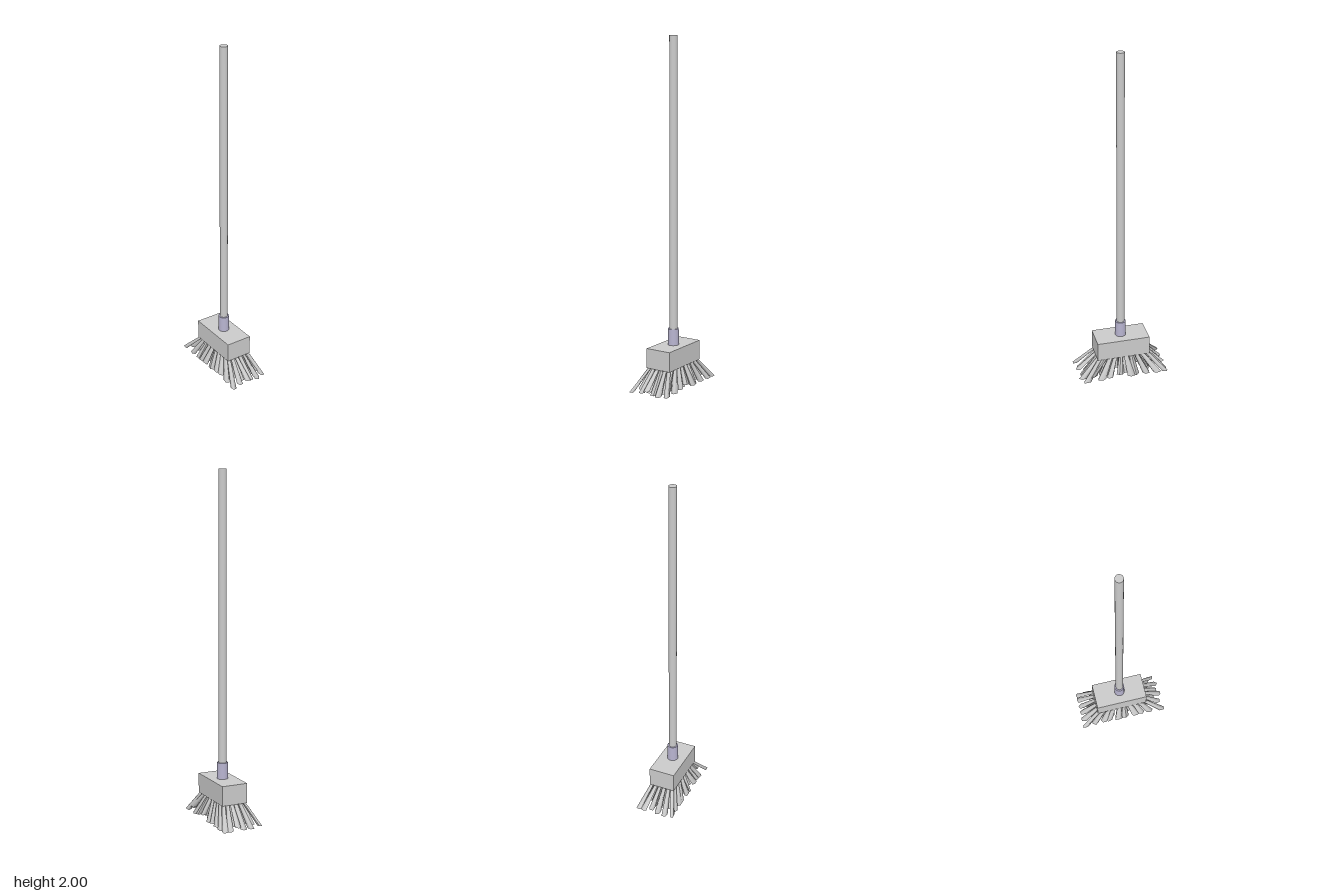
import * as THREE from 'three';

const grey = new THREE.MeshStandardMaterial({ color: 0xcccccc });
const collarMaterial = new THREE.MeshStandardMaterial({ color: 0xb8b4d0 });
const bristleMaterial = new THREE.MeshStandardMaterial({ color: 0xcccccc, side: THREE.DoubleSide });

function seeded(seed) {
  return () => {
    seed = (seed * 16807) % 2147483647;
    return seed / 2147483647;
  };
}

function addMesh(parent, name, geometry, material, x, y, z) {
  const mesh = new THREE.Mesh(geometry, material);
  mesh.name = name;
  mesh.position.set(x, y, z);
  parent.add(mesh);
  return mesh;
}

// A tuft widens from its root to its tip, sheared so both ends stay level
function tuftGeometry(root, tip, halfX, halfZ, turn) {
  const geometry = new THREE.CylinderGeometry(1, 1, 1, 5, 1, false, turn);
  const pos = geometry.attributes.position;
  for (let i = 0; i < pos.count; i++) {
    const t = 0.5 - pos.getY(i);
    const width = 0.55 + 0.45 * t;
    const x = THREE.MathUtils.lerp(root.x, tip.x, t) + pos.getX(i) * halfX * width;
    const z = THREE.MathUtils.lerp(root.z, tip.z, t) + pos.getZ(i) * halfZ * width;
    // Trim the tips to a straight rectangular outline
    pos.setXYZ(
      i,
      THREE.MathUtils.clamp(x, -0.12, 0.12),
      THREE.MathUtils.lerp(root.y, tip.y, t),
      THREE.MathUtils.clamp(z, -0.27, 0.27)
    );
  }
  geometry.computeVertexNormals();
  return geometry;
}

export function createModel() {
  const model = new THREE.Group();
  model.name = 'scrubBrush';

  // Long handle, collar and brush block
  addMesh(model, 'handle', new THREE.CylinderGeometry(0.023, 0.023, 1.77, 24), grey, -0.001, 1.115, -0.003);
  addMesh(model, 'collar', new THREE.CylinderGeometry(0.031, 0.032, 0.1, 24), collarMaterial, -0.001, 0.28, -0.003);
  addMesh(model, 'brushBlock', new THREE.BoxGeometry(0.157, 0.115, 0.318), grey, -0.001, 0.1775, -0.004);

  // Rows of splayed bristle tufts
  const bristles = new THREE.Group();
  bristles.name = 'bristles';
  model.add(bristles);
  const random = seeded(4217);
  const jitter = (amount) => (random() - 0.5) * 2 * amount;
  const columns = 6, rows = 10;
  for (let c = 0; c < columns; c++) {
    for (let r = 0; r < rows; r++) {
      const u = (c / (columns - 1)) * 2 - 1;
      const v = (r / (rows - 1)) * 2 - 1;
      const root = new THREE.Vector3(u * 0.064, 0.125, v * 0.142 - 0.004);
      const tip = new THREE.Vector3(
        u * 0.105 + jitter(0.012),
        random() < 0.6 ? 0 : random() * 0.025,
        v * 0.245 + jitter(0.018)
      );
      const geometry = tuftGeometry(root, tip, 0.016 + random() * 0.004, 0.02 + random() * 0.006, random() * 6.28);
      addMesh(bristles, 'bristleTuft', geometry, bristleMaterial, 0, 0, 0);
    }
  }
  return model;
}
